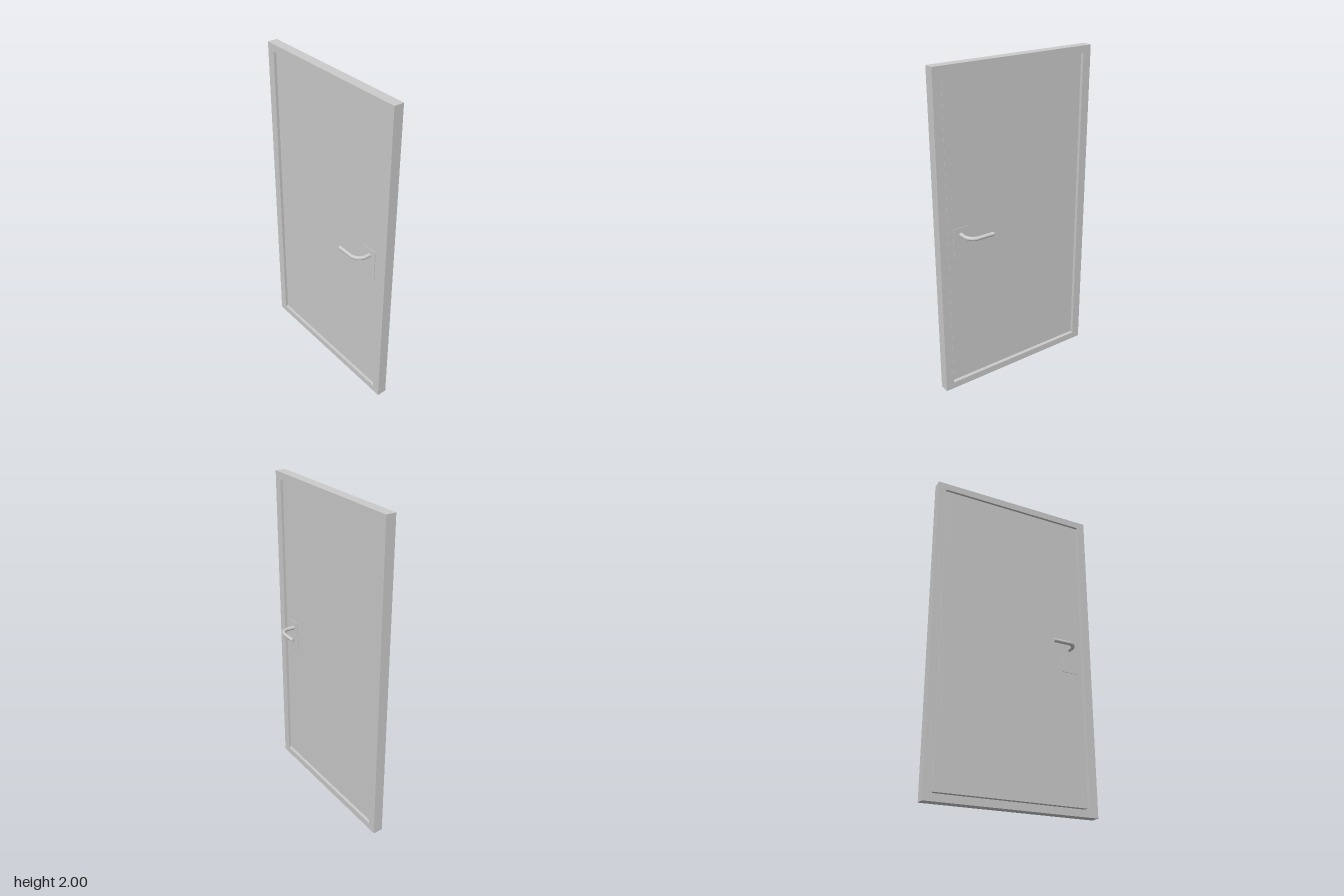
import * as THREE from 'three';

const material = new THREE.MeshStandardMaterial({ color: 0xcccccc });

const add = (parent, name, geometry, x = 0, y = 0, z = 0) => {
  const mesh = new THREE.Mesh(geometry, material);
  mesh.name = name;
  mesh.position.set(x, y, z);
  parent.add(mesh);
  return mesh;
};

const rect = (path, x0, y0, x1, y1) =>
  path.moveTo(x0, y0).lineTo(x1, y0).lineTo(x1, y1).lineTo(x0, y1).closePath();

export function createModel() {
  const model = new THREE.Group();
  model.name = 'door';
  const back = -0.024, front = 0.037, mid = (back + front) / 2;

  // Rectangular surround with a sill
  const outline = rect(new THREE.Shape(), -0.53, 0, 0.53, 2);
  outline.holes.push(rect(new THREE.Path(), -0.477, 0.043, 0.477, 1.955));
  add(model, 'frame',
    new THREE.ExtrudeGeometry(outline, { depth: front - back, bevelEnabled: false }), 0, 0, back);

  // Slightly recessed leaf with a slit above the sill
  const leafDepth = 0.037;
  add(model, 'doorLeaf', new THREE.BoxGeometry(0.938, 1.899, leafDepth), 0, 1.0025, mid);

  // Strips that close the side and top gaps
  for (const side of [-1, 1]) {
    add(model, 'sideStop', new THREE.BoxGeometry(0.01, 1.91, 0.02), side * 0.473, 0.999, mid);
  }
  add(model, 'topStop', new THREE.BoxGeometry(0.95, 0.006, 0.02), 0, 1.953, mid);

  // Lock plate and bent lever on each face
  const handleX = 0.385, handleY = 1.027, reach = 0.113, bend = 0.06, radius = 0.012;
  for (const side of [-1, 1]) {
    const handle = new THREE.Group();
    handle.name = side > 0 ? 'frontHandle' : 'backHandle';
    model.add(handle);

    add(handle, 'lockPlate', new THREE.BoxGeometry(0.098, 0.198, 0.004),
      handleX, 0.972, mid + side * (leafDepth / 2 + 0.001));

    const point = (x, z) => new THREE.Vector3(x, 0, side * z);
    const path = new THREE.CurvePath();
    path.add(new THREE.LineCurve3(point(handleX, 0), point(handleX, reach - bend)));
    const k = bend * 0.448; // Bezier control offset for a quarter circle
    path.add(new THREE.CubicBezierCurve3(
      point(handleX, reach - bend), point(handleX, reach - k),
      point(handleX - k, reach), point(handleX - bend, reach)));
    path.add(new THREE.LineCurve3(point(handleX - bend, reach), point(0.227, reach)));
    add(handle, 'lever', new THREE.TubeGeometry(path, 48, radius, 16), 0, handleY, 0);

    const cap = add(handle, 'leverEnd', new THREE.CircleGeometry(radius, 16), 0.227, handleY, side * reach);
    cap.rotation.y = -Math.PI / 2;
  }
  return model;
}
